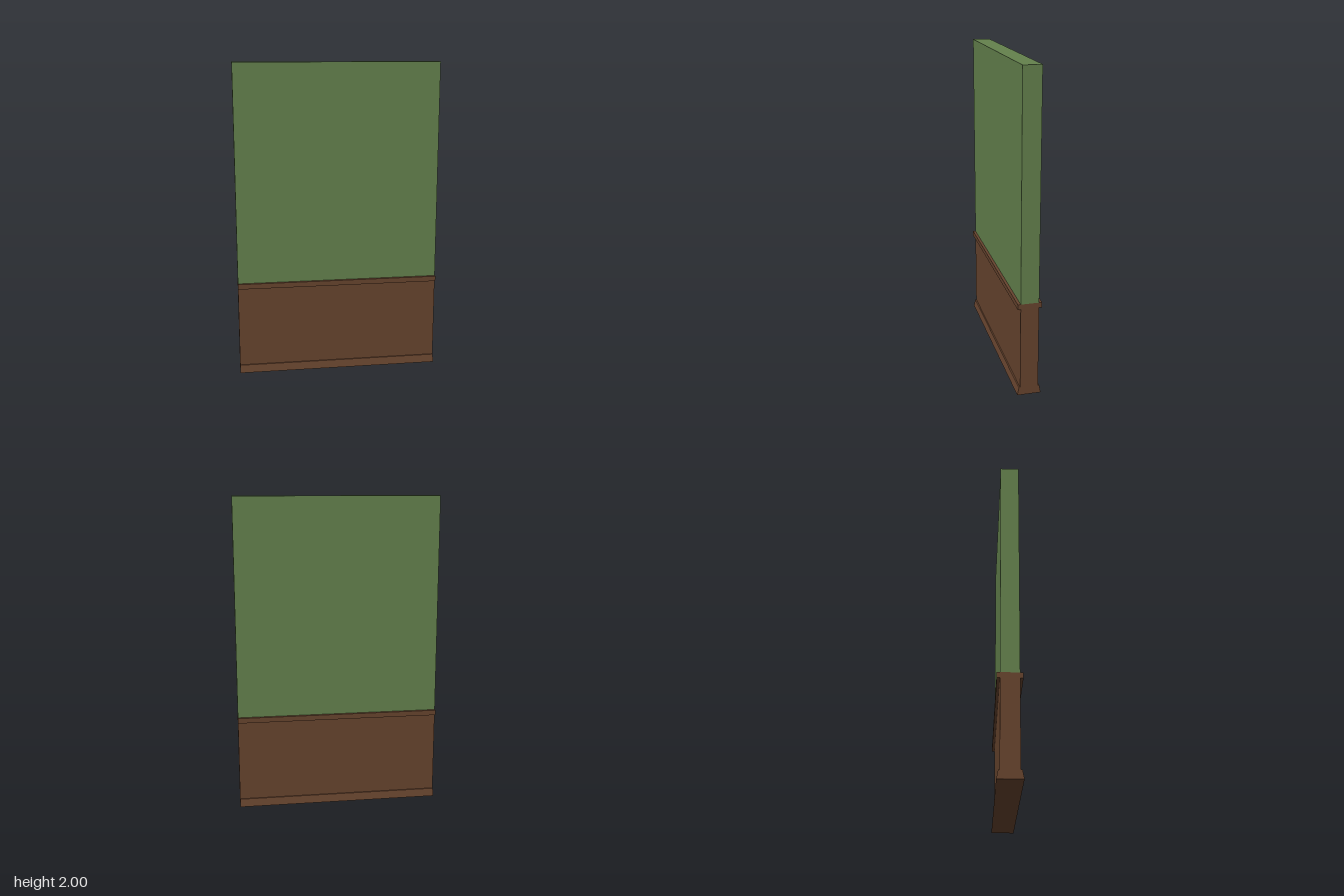
import * as THREE from 'three';

const WIDTH = 1.298;

// Extrudes a front-to-back symmetric profile of [halfDepth, y] points along x
function strip(name, profile, material) {
  const right = profile.map(([d, y]) => new THREE.Vector2(d, y));
  const left = profile.map(([d, y]) => new THREE.Vector2(-d, y)).reverse();
  const geometry = new THREE.ExtrudeGeometry(new THREE.Shape([...right, ...left]), {
    depth: WIDTH, bevelEnabled: false,
  });
  geometry.translate(0, 0, -WIDTH / 2).rotateY(Math.PI / 2);
  const mesh = new THREE.Mesh(geometry, material);
  mesh.name = name;
  return mesh;
}

export function createModel() {
  const green = new THREE.MeshStandardMaterial({ name: 'green paint', color: 0x64814d });
  const brown = new THREE.MeshStandardMaterial({ name: 'brown wood', color: 0x67442e });
  const wall = 0.056, trim = 0.074;

  const group = new THREE.Group();
  group.name = 'wallPanel';
  group.add(
    // Painted upper wall
    strip('upperWall', [[wall, 0.605], [wall, 2]], green),
    // Wood panelling with sloped baseboard and square top rail
    strip('wainscot', [
      [trim, 0], [0.064, 0.05], [wall, 0.05],
      [wall, 0.572], [trim, 0.572], [trim, 0.605],
    ], brown),
  );
  return group;
}
